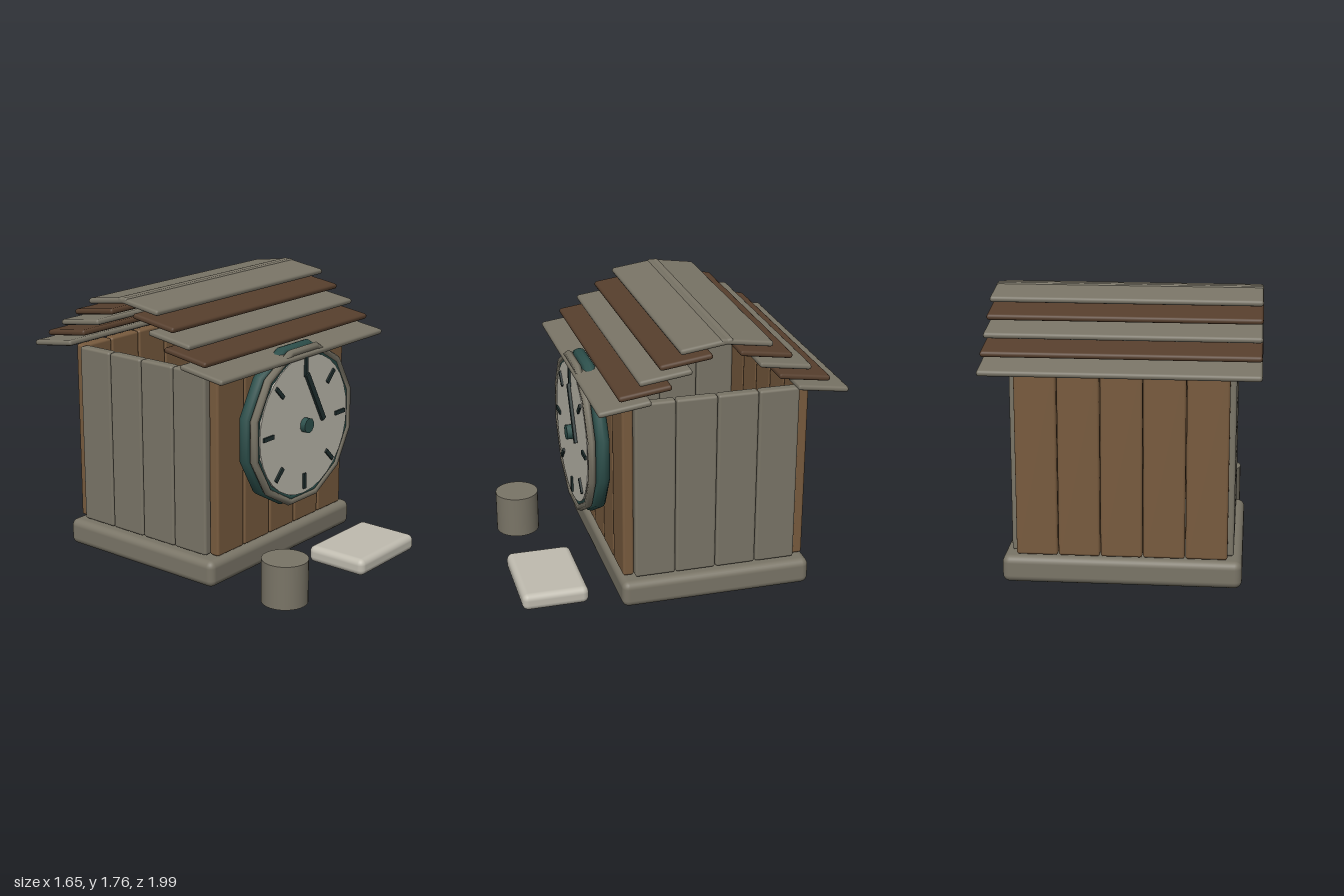
import * as THREE from 'three';
import { RoundedBoxGeometry } from 'three/addons/geometries/RoundedBoxGeometry.js';

const mat = (name, color) => {
  const m = new THREE.MeshStandardMaterial({ color });
  m.name = name;
  return m;
};

export function createModel() {
  const model = new THREE.Group();
  const grey = mat('weathered grey', 0x7a7567);
  const brown = mat('warm wood', 0x785b3e);
  const darkBrown = mat('dark wood', 0x573f2d);
  const pale = mat('pale stone', 0xc0bcb0);
  const teal = mat('teal', 0x2d504c);
  const ink = mat('dark ink', 0x20302f);

  const add = (name, geo, material, x, y, z, parent = model) => {
    const mesh = new THREE.Mesh(geo, material);
    mesh.name = name;
    mesh.position.set(x, y, z);
    parent.add(mesh);
    return mesh;
  };
  const slab = (w, h, d, r, s = 2) => new RoundedBoxGeometry(w, h, d, s, r);
  const midZ = -0.22; // centre line of the house

  // Foundation
  add('foundation', slab(1.46, 0.17, 1.22, 0.045, 3), grey, 0, 0.095, midZ);

  // Plank walls: front and back
  for (const side of [1, -1]) {
    for (let i = 0; i < 5; i++) {
      add(side > 0 ? 'frontPlank' : 'backPlank', slab(0.253, 1.16, 0.07, 0.016), brown,
        (i - 2) * 0.257, 0.77, midZ + side * 0.553);
    }
    // left and right
    for (let i = 0; i < 4; i++) {
      add(side > 0 ? 'leftPlank' : 'rightPlank', slab(0.07, 1.16, 0.256, 0.016), grey,
        side * 0.643, 0.77, midZ + (i - 1.5) * 0.26);
    }
  }

  // Overlapping roof boards, mirrored about the ridge
  for (const side of [1, -1]) {
    for (let i = 0; i < 5; i++) {
      const board = add('roofBoard', slab(1.65, 0.036, 0.325, 0.0165, 1), i % 2 ? darkBrown : grey,
        0, 1.386 + i * 0.0845, midZ + side * (0.612 - i * 0.1225));
      board.rotation.x = side * 0.14;
    }
  }

  // Clock
  const clock = new THREE.Group();
  clock.name = 'clock';
  clock.position.set(0, 0.92, 0);
  model.add(clock);
  const twelfth = Math.PI / 12;

  const profile = [[0, 0.405], [0.495, 0.405], [0.518, 0.42], [0.528, 0.448], [0.518, 0.476], [0.49, 0.49], [0, 0.49]]
    .map(([r, z]) => new THREE.Vector2(r, z));
  const body = add('clockBody', new THREE.LatheGeometry(profile, 12, twelfth), teal, 0, 0, 0, clock);
  body.rotation.x = Math.PI / 2;

  const ring = (name, radius, tube, z, material) => {
    const r = add(name, new THREE.TorusGeometry(radius, tube, 6, 12), material, 0, 0, z, clock);
    r.rotation.z = twelfth;
  };
  ring('outerRim', 0.495, 0.026, 0.518, grey);
  ring('innerRim', 0.468, 0.022, 0.512, teal);

  const disc = (name, radius, depth, sides, material, z) => {
    const d = add(name, new THREE.CylinderGeometry(radius, radius, depth, sides), material, 0, 0, z, clock);
    d.rotation.x = Math.PI / 2;
    return d;
  };
  disc('clockFace', 0.45, 0.05, 32, pale, 0.513);
  disc('hub', 0.048, 0.045, 10, teal, 0.553);

  // Eight hour marks
  for (let i = 0; i < 8; i++) {
    const a = (i * Math.PI) / 4;
    const mark = add('hourMark', new THREE.BoxGeometry(0.1, 0.026, 0.014), ink,
      Math.cos(a) * 0.37, Math.sin(a) * 0.37, 0.543, clock);
    mark.rotation.z = a;
  }
  // Hands
  add('shortHand', new THREE.BoxGeometry(0.026, 0.13, 0.014), ink, 0, 0.375, 0.544, clock);
  const hand = add('longHand', new THREE.BoxGeometry(0.036, 0.375, 0.018), ink, 0.09, 0.163, 0.552, clock);
  hand.rotation.z = 0.5;

  // Yard pieces
  add('steppingStone', slab(0.6, 0.11, 0.42, 0.04, 3), pale, 0.304, 0.063, 0.785);
  add('stump', new THREE.CylinderGeometry(0.143, 0.143, 0.275, 32), grey, -0.553, 0.1375, 0.815);

  return model;
}
